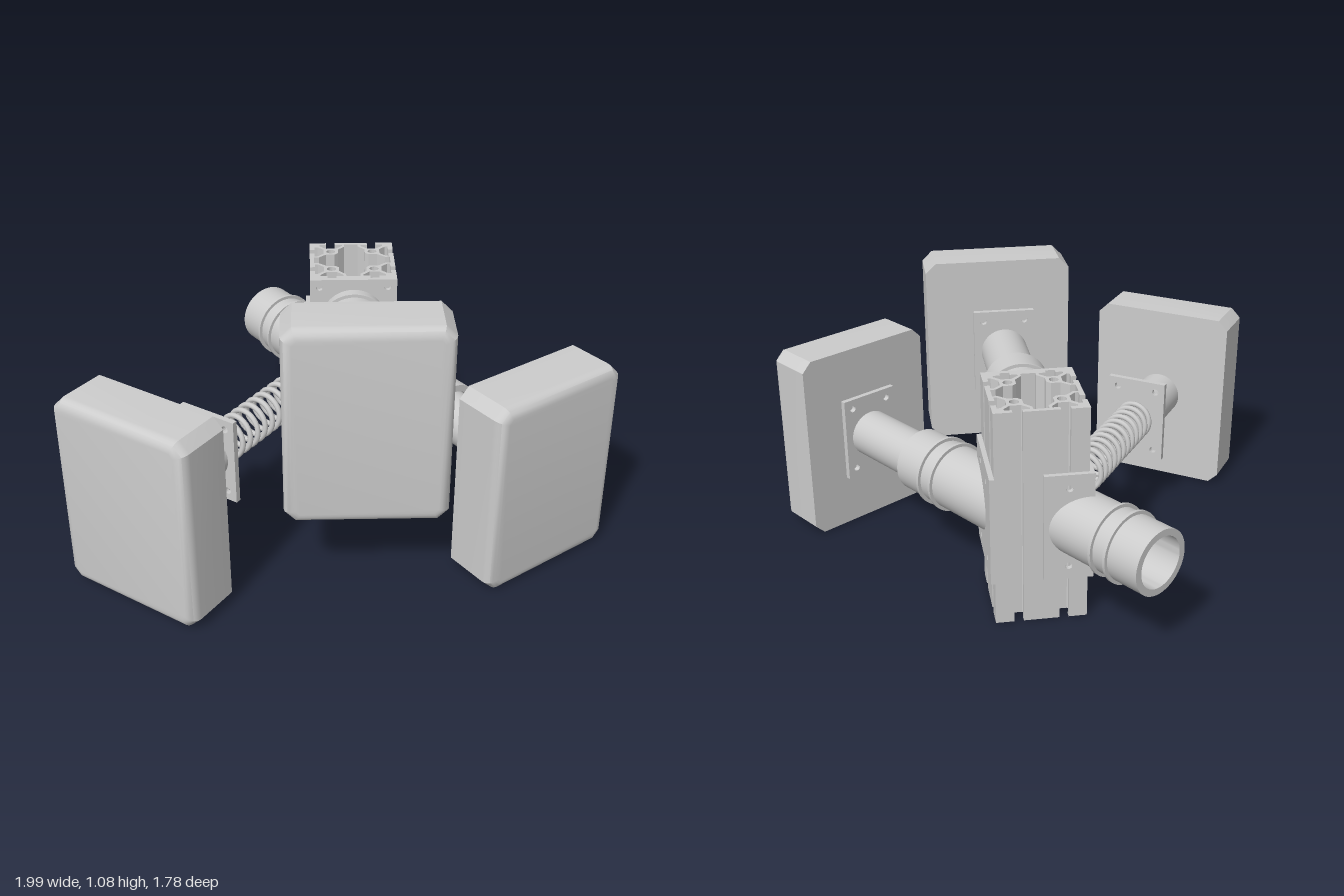
import * as THREE from 'three';
import { toCreasedNormals } from 'three/addons/utils/BufferGeometryUtils.js';

const grey = new THREE.MeshStandardMaterial({ color: 0xcccccc, side: THREE.DoubleSide });
const TILT = 0.605; // yaw of the slanted arms
const POST = { x: 0.066, z: -0.367, half: 0.172, height: 0.86 };

function add(parent, name, geometry, x = 0, y = 0, z = 0) {
  const mesh = new THREE.Mesh(geometry, grey);
  mesh.name = name;
  mesh.position.set(x, y, z);
  parent.add(mesh);
  return mesh;
}

function polygon(points) {
  return points.map(([x, y]) => new THREE.Vector2(x, y));
}

function roundHole(x, y, r) {
  return new THREE.Path().absarc(x, y, r, 0, Math.PI * 2, true);
}

// Flat plate in the xy plane, centred, with a bolt hole near each corner
function plateGeometry(w, h, depth, hx, hy, centres = [-1, 1]) {
  const shape = new THREE.Shape(polygon([
    [-w / 2, -h / 2], [w / 2, -h / 2], [w / 2, h / 2], [-w / 2, h / 2]]));
  for (const sx of centres) for (const sy of [-1, 1]) shape.holes.push(roundHole(sx * hx, sy * hy, 0.014));
  return new THREE.ExtrudeGeometry(shape, { depth, bevelEnabled: false, curveSegments: 8 })
    .translate(0, 0, -depth / 2);
}

// Slotted extrusion: two T-slots per side, four bores and a central cavity
function postGeometry() {
  const slot = [[-0.018, 0.172], [-0.018, 0.152], [-0.045, 0.152], [-0.045, 0.14], [-0.02, 0.115],
    [0.02, 0.115], [0.045, 0.14], [0.045, 0.152], [0.018, 0.152], [0.018, 0.172]];
  const side = [[-POST.half, POST.half]];
  for (const c of [-0.085, 0.085]) for (const [x, y] of slot) side.push([x + c, y]);
  const inner = [[-0.055, 0.07], [-0.055, 0.105], [-0.028, 0.135], [-0.028, 0.155],
    [0.028, 0.155], [0.028, 0.135], [0.055, 0.105], [0.055, 0.07]];
  const spin = (points) => {
    const out = [];
    for (let k = 0; k < 4; k++) {
      out.push(...points);
      points = points.map(([x, y]) => [y, -x]);
    }
    return polygon(out);
  };
  const shape = new THREE.Shape(spin(side));
  shape.holes.push(new THREE.Path(spin(inner)));
  for (const x of [-0.085, 0.085]) for (const y of [-0.085, 0.085]) shape.holes.push(roundHole(x, y, 0.018));
  return new THREE.ExtrudeGeometry(shape, { depth: POST.height, bevelEnabled: false, curveSegments: 8 })
    .rotateX(-Math.PI / 2);
}

// Pad: chamfered corners, rounded front rim, flat back
function padGeometry() {
  const w = 0.295, h = 0.386, c = 0.04, r = 0.04, depth = 0.215;
  const shape = new THREE.Shape(polygon([
    [-w + c, -h], [w - c, -h], [w, -h + c], [w, h - c], [w - c, h], [-w + c, h], [-w, h - c], [-w, -h + c]]));
  const geo = new THREE.ExtrudeGeometry(shape, {
    depth: depth - r, bevelThickness: r, bevelSize: r, bevelOffset: -r, bevelSegments: 6 });
  const p = geo.attributes.position;
  for (let i = 0; i < p.count; i++) p.setZ(i, Math.max(0, p.getZ(i)));
  return toCreasedNormals(geo.translate(0, 0, -depth / 2), 0.5);
}

function rod(r, z0, z1) {
  return new THREE.CylinderGeometry(r, r, z1 - z0, 48).rotateX(Math.PI / 2).translate(0, 0, (z0 + z1) / 2);
}

// Hollow sleeve ending at local z = end, its root mitred to the planes x = cutX and z = cutZ
function addSleeve(group, end, cutX, cutZ) {
  const profile = polygon([[0.127, -2], [0.127, 0], [0.1, 0], [0.1, -0.15], [0.08, -0.15], [0.08, -0.2], [0, -0.2]]);
  const geo = new THREE.LatheGeometry(profile, 64).rotateX(Math.PI / 2).translate(0, 0, end);
  const p = geo.attributes.position;
  const s = Math.sin(group.rotation.y), c = Math.cos(group.rotation.y);
  for (let i = 0; i < p.count; i++) {
    if (p.getZ(i) > end - 1) continue;
    const x = p.getX(i);
    const toX = (cutX - group.position.x - x * c) / s;
    const toZ = (cutZ - group.position.z + x * s) / c;
    p.setZ(i, Math.min(toX, toZ));
  }
  add(group, 'sleeve', toCreasedNormals(geo, 0.6));
  for (const d of [0.14, 0.21]) add(group, 'sleeveRing', rod(0.14, end - d - 0.006, end - d + 0.006));
}

function newGroup(parent, name, x, y, z, yaw) {
  const group = new THREE.Group();
  group.name = name;
  group.position.set(x, y, z);
  group.rotation.y = yaw;
  parent.add(group);
  return group;
}

export function createModel() {
  const model = new THREE.Group();
  model.name = 'padStand';

  // Post
  add(model, 'post', postGeometry(), POST.x, 0, POST.z);

  // Corner brackets: a full plate on one face and a half plate round the corner
  const gap = POST.half + 0.009;
  for (const [name, s] of [['leftBracket', 1], ['rightBracket', -1]]) {
    const bracket = newGroup(model, name, POST.x, 0.395, POST.z, s > 0 ? 0 : Math.PI);
    add(bracket, 'sidePlate', plateGeometry(0.372, 0.43, 0.018, 0.085, 0.16), gap, 0, 0).rotation.y = Math.PI / 2;
    add(bracket, 'cornerPlate', plateGeometry(0.185, 0.43, 0.018, 0.0, 0.16, [1]), 0.0975, 0, gap);
  }
  add(model, 'frontPlate', plateGeometry(0.344, 0.344, 0.018, 0.135, 0.14), POST.x, 0.688, POST.z + gap);

  // Pads on arms: centre, left and right
  const arms = [
    ['centreArm', POST.x, 0.69, 0.562, 0, 0.02],
    ['leftArm', 0.714, 0.39, 0.46, TILT, 0],
    ['rightArm', -0.705, 0.39, 0.64, -TILT, 0],
  ];
  for (const [name, x, y, z, yaw, padShift] of arms) {
    const arm = newGroup(model, name, x, y, z, yaw);
    add(arm, 'pad', padGeometry(), padShift, 0, 0);
    const plate = plateGeometry(0.25, 0.35, 0.022, 0.085, 0.135);
    if (name === 'rightArm') {
      // Short stub with a flange and a coil spring
      add(arm, 'armTube', rod(0.093, -0.37, -0.1));
      add(arm, 'flange', plate, 0, 0, -0.381);
      const turns = 12, steps = 20, points = [];
      for (let i = 0; i <= turns * steps; i++) {
        const a = (i / steps) * Math.PI * 2;
        points.push(new THREE.Vector3(0.072 * Math.cos(a), 0.072 * Math.sin(a), -0.395 - 0.57 * i / (turns * steps)));
      }
      add(arm, 'spring', new THREE.TubeGeometry(new THREE.CatmullRomCurve3(points), 360, 0.011, 8));
    } else {
      add(arm, 'armTube', rod(0.095, -0.6, -0.12));
      add(arm, 'padPlate', plate, 0, 0, -0.118);
      const cutX = yaw ? POST.x + gap : Infinity;
      addSleeve(arm, -0.465, cutX, POST.z + gap);
    }
  }

  // Empty socket at the rear corner
  const socket = newGroup(model, 'rearSocket', -0.3, 0.39, -0.83, Math.PI + TILT);
  addSleeve(socket, 0, POST.x - gap, POST.z - gap);

  return model;
}
